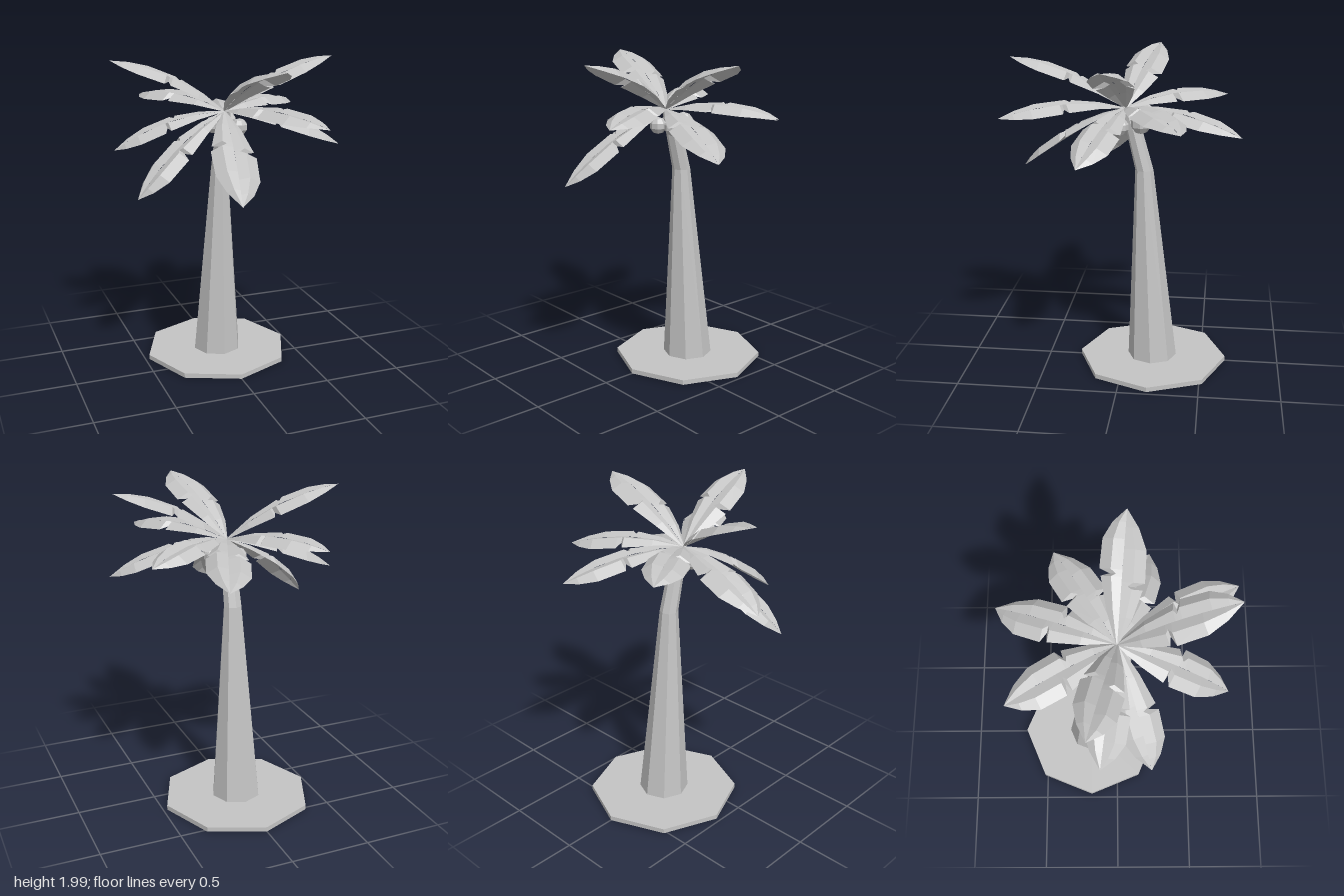
import * as THREE from 'three';

const grey = new THREE.MeshStandardMaterial({ color: 0xc4c4c4, flatShading: true, side: THREE.DoubleSide });
grey.name = 'plain grey';

const CROWN = new THREE.Vector3(-0.01, 1.67, 0);

// Tip of every frond, fanned around the crown
const FROND_TIPS = [
  [0.27, 1.56, -0.71], [-0.38, 1.7, -0.62], [0.59, 1.64, -0.37],
  [-0.675, 1.985, -0.165], [-0.68, 1.455, -0.1], [-0.62, 1.22, 0.2],
  [0.675, 1.985, 0.06], [0.675, 1.455, 0.2], [-0.145, 1.255, 0.667],
  [0.1, 1.985, 0.68], [0.355, 1.66, 0.705],
];

// Half width along a frond: an inner blade, a torn notch, an outer blade
const PROFILE = [
  [0, 0.008], [0.2, 0.075], [0.41, 0.12], [0.43, 0.07],
  [0.46, 0.13], [0.7, 0.125], [0.86, 0.075], [1, 0],
];

function mesh(name, geometry) {
  const m = new THREE.Mesh(geometry, grey);
  m.name = name;
  return m;
}

// Joins rows of points, all of one length, into a faceted surface
function skin(rows) {
  const pos = [];
  const put = (...pts) => pts.forEach((p) => pos.push(p.x, p.y, p.z));
  for (let i = 0; i < rows.length - 1; i++) {
    for (let j = 0; j < rows[i].length - 1; j++) {
      const a = rows[i][j], b = rows[i][j + 1], c = rows[i + 1][j + 1], d = rows[i + 1][j];
      put(a, b, c, a, c, d);
    }
  }
  const g = new THREE.BufferGeometry();
  g.setAttribute('position', new THREE.Float32BufferAttribute(pos, 3));
  g.computeVertexNormals();
  return g;
}

// Arched frond with a shallow central groove and drooping edges
function frond(tipPoint) {
  const tip = new THREE.Vector3(...tipPoint);
  const along = tip.clone().sub(CROWN);
  const across = new THREE.Vector3(along.z, 0, -along.x).normalize();
  const normal = along.clone().cross(across).normalize();
  const spine = (t) => CROWN.clone().lerp(tip, t).addScaledVector(normal, 0.2 * t * (1 - t));

  const half = (side) => skin(PROFILE.map(([t0, w]) => {
    // the notch sits further out on one side than on the other
    const t = t0 + (side > 0 ? 0.09 : 0) * Math.sin(Math.PI * t0);
    const at = (k, lift) => spine(t).addScaledVector(across, side * w * k).addScaledVector(normal, lift * w);
    const row = [at(0, 0), at(0.5, 0.12), at(1, -0.22)];
    return side > 0 ? row : row.reverse();
  }));

  const g = new THREE.Group();
  g.name = 'frond';
  g.add(mesh('frondLeftBlade', half(1)), mesh('frondRightBlade', half(-1)));
  return g;
}

export function createModel() {
  const palm = new THREE.Group();
  palm.name = 'palmTree';

  // Octagonal ground slab
  const base = mesh('groundSlab', new THREE.CylinderGeometry(0.475, 0.475, 0.03, 8));
  base.position.set(0, 0.015, -0.183);
  palm.add(base);

  // Tapered eight-sided trunk that bends forward near the top
  const rings = [[0.03, 0.157, -0.18], [1.285, 0.057, -0.12], [1.54, 0.05, -0.055], [1.66, 0.035, -0.01]];
  palm.add(mesh('trunk', skin(rings.map(([y, r, z]) =>
    Array.from({ length: 9 }, (_, i) => {
      const a = (-i * Math.PI) / 4;
      return new THREE.Vector3(r * Math.cos(a), y, z + r * Math.sin(a));
    }).reverse()))));

  // Coconuts clustered under the crown
  const nuts = [[0.04, 1.585, -0.1, 0.065], [0.08, 1.57, 0.02, 0.053], [-0.06, 1.575, -0.07, 0.053], [-0.035, 1.57, 0.04, 0.053]];
  for (const [x, y, z, r] of nuts) {
    const nut = mesh('coconut', new THREE.SphereGeometry(r, 8, 5));
    nut.position.set(x, y, z);
    palm.add(nut);
  }

  // Crown of fronds
  FROND_TIPS.forEach((tip) => palm.add(frond(tip)));
  return palm;
}
